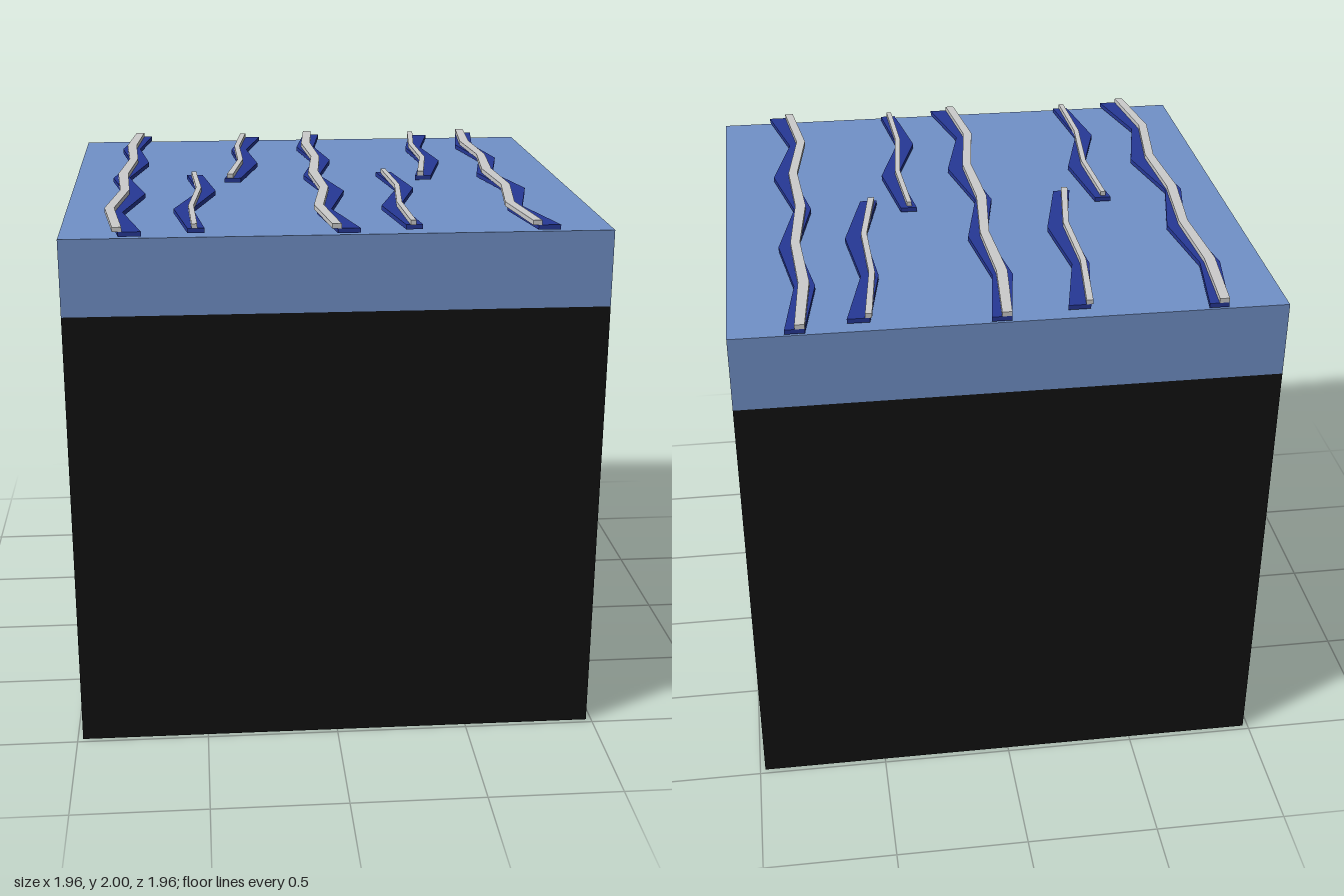
import * as THREE from 'three';

const material = (color) => new THREE.MeshStandardMaterial({ color, flatShading: true });
const black = material(0x111111);
const blue = material(0x7191c8);
const navy = material(0x263896);
const grey = material(0xcccccc);

function slab(name, mat, y0, y1) {
  const mesh = new THREE.Mesh(new THREE.BoxGeometry(1.96, y1 - y0, 1.96), mat);
  mesh.name = name;
  mesh.position.y = (y0 + y1) / 2;
  return mesh;
}

// Flat zigzag strip; each row is [z, left x, right x]
function strip(name, mat, rows, y0, y1) {
  const left = rows.map(([z, l]) => new THREE.Vector2(l, -z));
  const right = rows.map(([z, , r]) => new THREE.Vector2(r, -z)).reverse();
  const geometry = new THREE.ExtrudeGeometry(new THREE.Shape([...left, ...right]), {
    depth: y1 - y0, bevelEnabled: false,
  });
  geometry.rotateX(-Math.PI / 2).translate(0, y0, 0);
  const mesh = new THREE.Mesh(geometry, mat);
  mesh.name = name;
  return mesh;
}

// Each wave has a wide dark base, a narrow light crest and its x offsets
const waves = [
  {
    name: 'longWave', offsets: [0, 0.765, 1.475],
    base: [[-0.98, -0.76, -0.69], [-0.66, -0.81, -0.735], [-0.33, -0.76, -0.69], [0, -0.825, -0.76],
      [0.325, -0.765, -0.69], [0.655, -0.82, -0.765], [0.98, -0.77, -0.69]],
    crest: [[-0.98, -0.76, -0.725], [-0.66, -0.79, -0.75], [-0.33, -0.77, -0.735], [0, -0.805, -0.765],
      [0.325, -0.785, -0.75], [0.655, -0.83, -0.795], [0.98, -0.79, -0.757]],
  },
  {
    name: 'backWave', offsets: [0, 0.77],
    base: [[-0.93, -0.28, -0.2], [-0.61, -0.335, -0.27], [-0.285, -0.31, -0.235], [0.045, -0.38, -0.315]],
    crest: [[-0.93, -0.287, -0.263], [-0.61, -0.322, -0.3], [-0.285, -0.317, -0.295], [0.04, -0.37, -0.345]],
  },
  {
    name: 'frontWave', offsets: [0, 0.77],
    base: [[-0.04, -0.53, -0.468], [0.29, -0.485, -0.42], [0.61, -0.58, -0.51], [0.94, -0.53, -0.47]],
    crest: [[-0.025, -0.512, -0.493], [0.3, -0.495, -0.475], [0.63, -0.526, -0.506], [0.945, -0.515, -0.495]],
  },
];

export function createModel() {
  const model = new THREE.Group();
  model.name = 'waterBlock';
  model.add(slab('body', black, 0, 1.68), slab('waterLayer', blue, 1.68, 1.96));

  for (const { name, offsets, base, crest } of waves) {
    offsets.forEach((x, i) => {
      const wave = new THREE.Group();
      wave.name = `${name}${i + 1}`;
      wave.position.x = x;
      wave.add(strip('waveBase', navy, base, 1.966, 1.983), strip('waveCrest', grey, crest, 1.983, 2));
      model.add(wave);
    });
  }
  return model;
}
